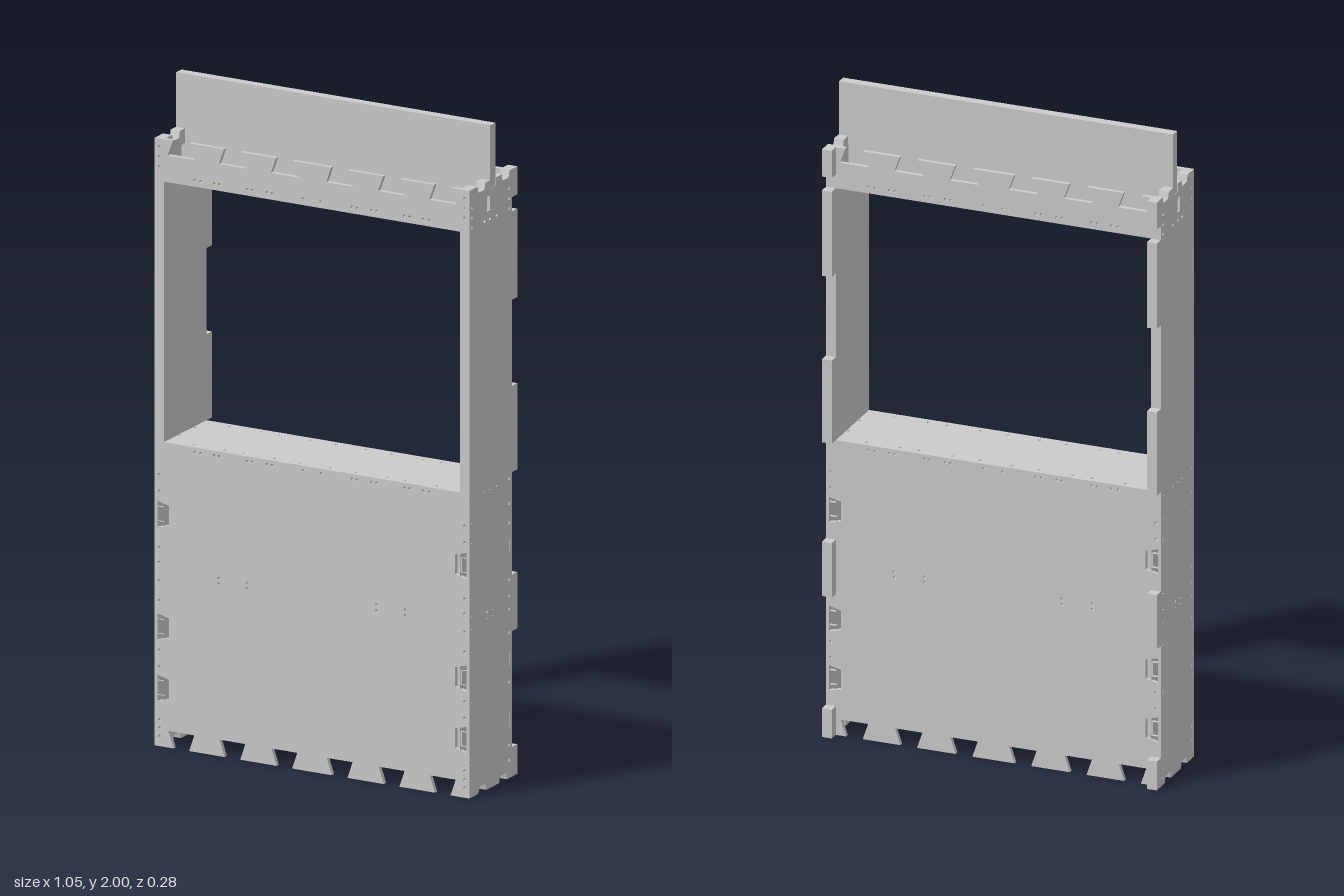
import * as THREE from 'three';

const material = new THREE.MeshStandardMaterial({ color: 0xcccccc, side: THREE.DoubleSide });
const W = 0.5235, JAMB = 0.493, TOP = 1.835, SILL = 0.92, LINTEL = 1.707;
const FRONT = 0.138, BACK = -0.11, TAB = -0.14, PLY = 0.0135;

const polygon = (pts, Type = THREE.Path) => new Type(pts.map(([x, y]) => new THREE.Vector2(x, y)));
const rect = (x0, y0, x1, y1, Type) => polygon([[x0, y0], [x1, y0], [x1, y1], [x0, y1]], Type);
const screwHole = (x, y, r = 0.005) => polygon(
  Array.from({ length: 8 }, (_, i) => [x + r * Math.cos(i * Math.PI / 4), y + r * Math.sin(i * Math.PI / 4)]));
const extrude = (shape, depth) => new THREE.ExtrudeGeometry(shape, { depth, bevelEnabled: false });

function add(group, name, geo) {
  const mesh = new THREE.Mesh(geo, material);
  mesh.name = name;
  group.add(mesh);
  return mesh;
}

// Large panel with dovetail notches along the top and bottom and a window
function facePanel() {
  const teeth = [-0.435, -0.265, -0.092, 0.092, 0.265, 0.435];
  const pts = [[-W, 0]];
  for (const x of teeth) pts.push([x - 0.026, 0], [x - 0.043, 0.05], [x + 0.043, 0.05], [x + 0.026, 0]);
  pts.push([W, 0], [W, TOP]);
  for (const x of [...teeth].reverse())
    pts.push([x + 0.028, TOP], [x + 0.045, TOP - 0.047], [x - 0.045, TOP - 0.047], [x - 0.028, TOP]);
  pts.push([-W, TOP]);
  const shape = polygon(pts, THREE.Shape);
  shape.holes.push(rect(-JAMB, SILL, JAMB, LINTEL));
  for (const s of [-1, 1]) {
    // side joint openings
    for (const y of [0.175, 0.36, 0.7])
      shape.holes.push(polygon([[s * 0.476, y - 0.03], [s * 0.515, y - 0.04], [s * 0.515, y + 0.04], [s * 0.476, y + 0.03]]));
    // screw holes along the sides, at the shelves and mid-panel
    for (const y of [0.03, 0.055, 0.08, 0.24, 0.29, 0.44, 0.5, 0.555, 0.6, 0.77, 0.82, 1.75, 1.78, 1.81])
      shape.holes.push(screwHole(s * 0.508, y));
    for (const x of [0.39, 0.37, 0.325, 0.308, 0.215, 0.198, 0.15, 0.133, 0.03])
      for (const y of [0.905, 1.726]) shape.holes.push(screwHole(s * x, y));
    for (const x of [0.215, 0.31])
      for (const y of [0.52, 0.537]) shape.holes.push(screwHole(s * x, y));
  }
  return extrude(shape, PLY);
}

// Rear tabs of the side panels, as [bottom, top]
const tabs = [[0, 0.09], [0.44, 0.61], [SILL, 1.18], [1.44, LINTEL], [1.75, TOP]];

// Side panel outline drawn with u = -z
function sidePanel() {
  const pts = [[-FRONT, 0], [-0.085, 0], [-0.08, 0.02], [-0.045, 0.02], [-0.04, 0],
    [0.035, 0], [0.04, 0.02], [0.075, 0.02], [0.08, 0]];
  tabs.forEach(([a, b], i) => {
    if (i) pts.push([0.107, a]);
    pts.push([-TAB, a], [-TAB, b]);
    if (i < tabs.length - 1) pts.push([0.107, b]);
  });
  pts.push([0.095, TOP], [0.09, 1.815], [0.055, 1.815], [0.05, TOP], [0.017, TOP], [0.017, 1.81],
    [-0.017, 1.81], [-0.017, TOP], [-0.045, TOP], [-0.05, 1.815], [-0.085, 1.815], [-0.09, TOP], [-FRONT, TOP]);
  const shape = polygon(pts, THREE.Shape);
  shape.holes.push(rect(-0.035, 1.745, -0.014, 1.79));
  for (const y of [0.175, 0.36, 0.7])
    shape.holes.push(rect(-0.135, y - 0.022, -0.128, y + 0.022), rect(0.094, y - 0.022, 0.105, y + 0.022));
  for (const y of [0.055, 0.1, 0.29, 0.44, 0.51, 0.55, 0.6, 0.77, 0.83, 0.905, 1.72, 1.75, 1.78])
    shape.holes.push(screwHole(-0.124, y), screwHole(0.093, y));
  for (const u of [-0.05, -0.02, 0.02])
    shape.holes.push(screwHole(u, 0.905), screwHole(u, 1.72));
  for (const u of [-0.035, 0])
    for (const y of [0.52, 0.537]) shape.holes.push(screwHole(u, y));

  // Leave the edge open below the sill, so the joint openings pass right through
  const full = extrude(shape, W - JAMB);
  const p = full.attributes.position.array, n = full.attributes.normal.array;
  const pos = [], nor = [];
  for (let i = 0; i < p.length; i += 9) {
    const u = (p[i] + p[i + 3] + p[i + 6]) / 3, y = (p[i + 1] + p[i + 4] + p[i + 7]) / 3;
    const frontEdge = u < -FRONT + 0.001;
    const lowerEdge = u < 0.12 && y > 0.03 && y < SILL;
    if (Math.abs(n[i]) > 0.5 && (frontEdge || lowerEdge)) continue;
    pos.push(...p.slice(i, i + 9));
    nor.push(...n.slice(i, i + 9));
  }
  const geo = new THREE.BufferGeometry();
  geo.setAttribute('position', new THREE.Float32BufferAttribute(pos, 3));
  geo.setAttribute('normal', new THREE.Float32BufferAttribute(nor, 3));
  return geo;
}

// Horizontal board between the panels, drilled along its edges
function shelfBoard(thickness) {
  const z0 = BACK + PLY, z1 = FRONT - PLY;
  const shape = rect(-JAMB, -z1, JAMB, -z0, THREE.Shape);
  for (const s of [-1, 1]) {
    for (const x of [0.05, 0.135, 0.24, 0.3, 0.405])
      for (const z of [z0 + 0.007, z1 - 0.007]) shape.holes.push(screwHole(s * x, -z));
    for (const z of [-0.03, 0.055]) shape.holes.push(screwHole(s * (JAMB - 0.007), -z));
  }
  return extrude(shape, thickness).rotateX(-Math.PI / 2);
}

export function createModel() {
  const model = new THREE.Group();
  model.name = 'windowedBoxFrame';

  const panel = facePanel();
  add(model, 'frontPanel', panel).position.z = FRONT - PLY;
  const back = add(model, 'backPanel', panel);
  back.rotation.y = Math.PI;
  back.position.z = BACK + PLY;

  // Side panels, mirrored
  const side = sidePanel().rotateY(Math.PI / 2).translate(JAMB, 0, 0);
  add(model, 'leftSidePanel', side);
  add(model, 'rightSidePanel', side).scale.x = -1;

  // Sill below the window and lintel above it
  const thickness = 0.027, shelf = shelfBoard(thickness);
  add(model, 'windowSill', shelf).position.y = SILL - thickness;
  add(model, 'windowLintel', shelf).position.y = LINTEL;

  // Upright header board standing in the top slots
  const board = add(model, 'headerBoard', new THREE.BoxGeometry(2 * W - 0.002, 0.27, 0.03));
  board.position.set(0, 1.865, 0);
  return model;
}
